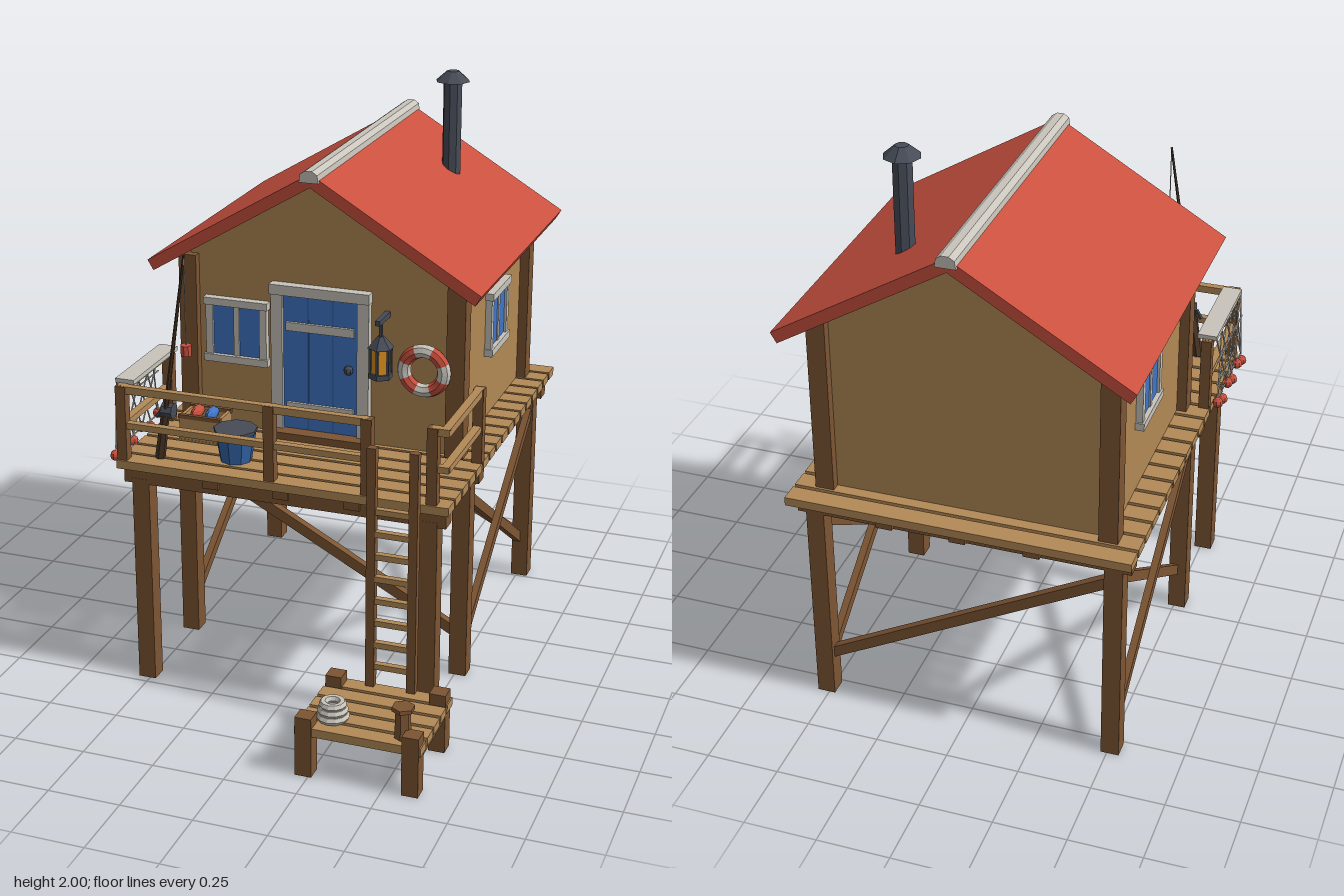
import * as THREE from 'three';

const mat = (name, color, side = THREE.FrontSide) => {
  const m = new THREE.MeshStandardMaterial({ color, side, flatShading: true });
  m.name = name;
  return m;
};

export function createModel() {
  const root = new THREE.Group();
  root.name = 'stiltCabin';
  const M = {
    timber: mat('dark timber', 0x7d5533),
    plank: mat('plank tan', 0xb48a57),
    wall: mat('wall tan', 0xb28954),
    red: mat('red', 0xc9503f),
    trim: mat('light grey', 0xc9c5bc),
    blue: mat('blue', 0x4075c6),
    bucket: mat('bucket blue', 0x3466a8),
    iron: mat('iron grey', 0x474c57),
    glow: mat('lamp orange', 0xe0921f),
    rod: mat('rod brown', 0x4d3826),
  };
  const V = (x, y, z) => new THREE.Vector3(x, y, z);
  const add = (name, geo, m, x = 0, y = 0, z = 0, parent = root) => {
    const mesh = new THREE.Mesh(geo, m);
    mesh.name = name;
    mesh.position.set(x, y, z);
    parent.add(mesh);
    return mesh;
  };
  const box = (name, m, w, h, d, x, y, z, parent) =>
    add(name, new THREE.BoxGeometry(w, h, d), m, x, y, z, parent);
  // square bar between two points
  const beam = (name, m, a, b, w, h = w, parent = root) => {
    const mid = a.clone().add(b).multiplyScalar(0.5);
    const mesh = box(name, m, w, h, a.distanceTo(b), mid.x, mid.y, mid.z, parent);
    mesh.lookAt(parent === root ? b : b.clone());
    return mesh;
  };
  // tapered round bar between two points
  const rod = (name, m, a, b, r0, r1, sides = 6) => {
    const mid = a.clone().add(b).multiplyScalar(0.5);
    const mesh = add(name, new THREE.CylinderGeometry(r1, r0, a.distanceTo(b), sides), m, mid.x, mid.y, mid.z);
    mesh.quaternion.setFromUnitVectors(V(0, 1, 0), b.clone().sub(a).normalize());
    return mesh;
  };
  const cyl = (name, m, rTop, rBot, h, sides, x, y, z) =>
    add(name, new THREE.CylinderGeometry(rTop, rBot, h, sides), m, x, y, z);
  const extrude = (name, pts, z0, z1, m) => {
    const s = new THREE.Shape(pts.map(p => new THREE.Vector2(...p)));
    return add(name, new THREE.ExtrudeGeometry(s, { depth: z1 - z0, bevelEnabled: false }), m, 0, 0, z0);
  };

  // Stilts, cross beams and bracing
  for (const z of [0.44, 0.055, -0.79]) {
    for (const x of [-0.51, 0.51]) box('stilt', M.timber, 0.062, 0.76, 0.062, x, 0.38, z);
    box('crossBeam', M.timber, 1.14, 0.055, 0.06, 0, 0.77, z);
    if (z < 0.1) beam('endBrace', M.timber, V(-0.5, 0.69, z), V(0.5, 0.155, z), 0.03, 0.038);
  }
  for (const x of [-0.51, 0.51]) {
    beam('sideBrace', M.timber, V(x + 0.012, 0.15, 0.045), V(x + 0.012, 0.69, -0.78), 0.025, 0.036);
    beam('sideBrace', M.timber, V(x - 0.012, 0.69, 0.045), V(x - 0.012, 0.15, -0.78), 0.025, 0.036);
  }
  for (const x of [-0.25, 0, 0.25]) box('joist', M.timber, 0.055, 0.035, 1.34, x, 0.782, -0.19);

  // Deck planks
  for (let i = 0; i < 17; i++) box('deckPlank', M.plank, 1.17, 0.03, 0.068, 0, 0.815, 0.464 - i * 0.082);

  // Cabin walls and corner posts
  extrude('cabinWalls', [[-0.48, 0.83], [0.48, 0.83], [0.48, 1.466], [0, 1.754], [-0.48, 1.466]], -0.76, 0.07, M.wall);
  for (const x of [-0.482, 0.482]) for (const z of [0.068, -0.76])
    box('cornerPost', M.timber, 0.064, 0.62, 0.064, x, 1.14, z);

  // Roof and ridge cap
  extrude('roof', [[0, 1.8], [-0.59, 1.446], [-0.569, 1.411], [0, 1.753], [0.569, 1.411], [0.59, 1.446]], -0.885, 0.188, M.red);
  extrude('ridgeCap', [[-0.034, 1.772], [0.034, 1.772], [0.03, 1.8], [0.012, 1.812], [-0.012, 1.812], [-0.03, 1.8]], -0.896, 0.2, M.trim);

  // Chimney
  cyl('chimneyPipe', M.iron, 0.034, 0.034, 0.4, 8, 0.25, 1.77, -0.59);
  cyl('chimneyCap', M.iron, 0.022, 0.062, 0.036, 8, 0.25, 1.982, -0.59);

  // Door
  box('door', M.blue, 0.27, 0.49, 0.024, 0, 1.1, 0.075);
  for (const x of [-0.045, 0.045]) box('doorGroove', M.bucket, 0.005, 0.48, 0.004, x, 1.1, 0.088);
  for (const y of [1.232, 0.94]) box('doorBatten', M.trim, 0.245, 0.03, 0.012, 0, y, 0.092);
  for (const x of [-0.156, 0.156]) box('doorJamb', M.trim, 0.042, 0.52, 0.04, x, 1.09, 0.08);
  box('doorLintel', M.trim, 0.36, 0.036, 0.05, 0, 1.362, 0.083);
  box('doorStep', M.timber, 0.34, 0.026, 0.07, 0, 0.843, 0.105);
  add('doorKnob', new THREE.SphereGeometry(0.017, 8, 6), M.iron, 0.105, 1.1, 0.1);

  // Windows, built facing +z then turned onto each wall
  const windowAt = (x, y, z, turn) => {
    const g = new THREE.Group();
    g.name = 'window';
    box('windowGlass', M.blue, 0.18, 0.19, 0.02, 0, 0, 0, g);
    for (const s of [-1, 1]) {
      box('windowJamb', M.trim, 0.026, 0.21, 0.034, s * 0.099, 0, 0.002, g);
      box('windowRail', M.trim, 0.236, 0.026, 0.044, 0, s * 0.103, 0.004, g);
    }
    box('windowMullion', M.trim, 0.02, 0.18, 0.026, 0, 0, 0.002, g);
    g.position.set(x, y, z);
    g.rotation.y = turn;
    root.add(g);
  };
  windowAt(-0.308, 1.188, 0.075, 0);
  windowAt(0.484, 1.188, -0.382, Math.PI / 2);
  windowAt(-0.484, 1.188, -0.382, -Math.PI / 2);

  // Railings
  for (const [x, z] of [[-0.565, 0.475], [-0.035, 0.475], [0.303, 0.475], [0.525, 0.475], [-0.565, 0.095], [0.567, 0.095]])
    box('railPost', M.timber, 0.036, 0.265, 0.036, x, 0.963, z);
  for (const [y, h] of [[1.083, 0.026], [0.955, 0.022]]) {
    box('frontRail', M.plank, 0.87, h, 0.026, -0.13, y, 0.475);
    box('cornerRail', M.plank, 0.06, h, 0.026, 0.55, y, 0.475);
    for (const x of [-0.567, 0.567]) box('sideRail', M.plank, 0.028, h, 0.39, x, y, 0.283);
  }

  // Fishing net draped over the left rail, with floats
  box('netFold', M.trim, 0.068, 0.016, 0.36, -0.563, 1.102, 0.277);
  for (let i = 0; i < 6; i++) {
    const z = 0.1 + i * 0.07;
    for (const s of [-1, 1]) {
      const z1 = Math.min(0.45, Math.max(0.1, z + s * 0.14));
      if (z1 !== z) beam('netStrand', M.trim, V(-0.595, 1.1, z), V(-0.608, 0.85, z1), 0.004);
    }
    add('netFloat', new THREE.SphereGeometry(0.019, 8, 6), M.red, -0.61, i % 2 ? 0.825 : 0.85, z);
  }
  for (const y of [1.01, 0.92, 0.85]) beam('netStrand', M.trim, V(-0.604, y, 0.1), V(-0.604, y, 0.45), 0.004);

  // Ladder
  for (const x of [0.345, 0.488]) box('ladderRail', M.timber, 0.03, 0.86, 0.028, x, 0.6, 0.55);
  for (let i = 0; i < 8; i++) box('ladderRung', M.plank, 0.14, 0.02, 0.022, 0.416, 0.25 + i * 0.08, 0.55);

  // Landing stage
  for (const x of [0.233, 0.593]) {
    for (const z of [0.577, 0.867]) box('landingPost', M.timber, 0.056, 0.212, 0.056, x, 0.106, z);
    box('landingBeam', M.timber, 0.036, 0.036, 0.29, x, 0.125, 0.722);
  }
  for (let i = 0; i < 5; i++) box('landingPlank', M.plank, 0.425, 0.03, 0.058, 0.413, 0.16, 0.568 + i * 0.0725);
  cyl('mooringPost', M.timber, 0.025, 0.028, 0.11, 6, 0.55, 0.225, 0.835);
  cyl('mooringPostCap', M.timber, 0.038, 0.038, 0.014, 6, 0.55, 0.28, 0.835);
  // Coiled rope
  for (const [r, y] of [[0.042, 0.19], [0.038, 0.212], [0.032, 0.232]])
    add('ropeCoil', new THREE.TorusGeometry(r, 0.014, 6, 12), M.trim, 0.303, y, 0.805).rotation.x = Math.PI / 2;

  // Lifebuoy in alternating segments
  const ring = new THREE.Group();
  ring.name = 'lifebuoy';
  for (let i = 0; i < 8; i++)
    add('lifebuoySegment', new THREE.TorusGeometry(0.07, 0.024, 8, 4, Math.PI / 4), i % 2 ? M.trim : M.red, 0, 0, 0, ring).rotation.z = (i + 0.5) * Math.PI / 4;
  ring.position.set(0.375, 1.135, 0.105);
  root.add(ring);

  // Lantern on a wall bracket
  const lx = 0.235, lz = 0.145;
  box('lanternArm', M.iron, 0.018, 0.018, 0.12, lx, 1.31, 0.12);
  box('lanternHook', M.iron, 0.01, 0.06, 0.01, lx, 1.28, lz);
  cyl('lanternCap', M.iron, 0.012, 0.046, 0.04, 6, lx, 1.235, lz);
  cyl('lanternGlass', M.glow, 0.032, 0.032, 0.09, 6, lx, 1.17, lz);
  cyl('lanternBase', M.iron, 0.042, 0.042, 0.018, 6, lx, 1.117, lz);
  for (let i = 0; i < 6; i++) {
    const a = i * Math.PI / 3;
    box('lanternBar', M.iron, 0.008, 0.095, 0.008, lx + 0.036 * Math.sin(a), 1.17, lz + 0.036 * Math.cos(a));
  }

  // Bucket with dark inside
  cyl('bucketBody', M.bucket, 0.072, 0.055, 0.106, 9, -0.208, 0.883, 0.352);
  cyl('bucketInside', M.iron, 0.075, 0.075, 0.012, 9, -0.208, 0.938, 0.352);

  // Crate holding two fish
  const cx = -0.383, cz = 0.2;
  box('crateFloor', M.plank, 0.14, 0.012, 0.1, cx, 0.838, cz);
  for (const s of [-1, 1]) {
    box('crateSide', M.plank, 0.15, 0.085, 0.012, cx, 0.875, cz + s * 0.05);
    box('crateEnd', M.plank, 0.012, 0.085, 0.1, cx + s * 0.069, 0.875, cz);
    box('crateRim', M.timber, 0.156, 0.014, 0.014, cx, 0.916, cz + s * 0.051);
    const fish = add('fish', new THREE.SphereGeometry(0.045, 8, 6), s < 0 ? M.red : M.blue, cx + s * 0.027, 0.92, cz + 0.005);
    fish.scale.set(0.45, 0.5, 1);
  }

  // Fishing rod, reel, line and float
  const butt = V(-0.455, 0.83, 0.425), tip = V(-0.305, 1.59, 0.523);
  rod('rodPole', M.rod, butt, tip, 0.01, 0.004);
  rod('rodHandle', M.rod, butt, butt.clone().lerp(tip, 0.22), 0.018, 0.015);
  cyl('reel', M.iron, 0.028, 0.028, 0.04, 8, -0.415, 1.01, 0.435).rotation.z = Math.PI / 2;
  beam('reelCrank', M.iron, V(-0.44, 1.01, 0.435), V(-0.46, 0.98, 0.43), 0.01);
  box('fishingLine', M.trim, 0.003, 0.31, 0.003, -0.305, 1.435, 0.523);
  cyl('fishingFloat', M.red, 0.019, 0.019, 0.036, 8, -0.305, 1.268, 0.523);

  return root;
}
